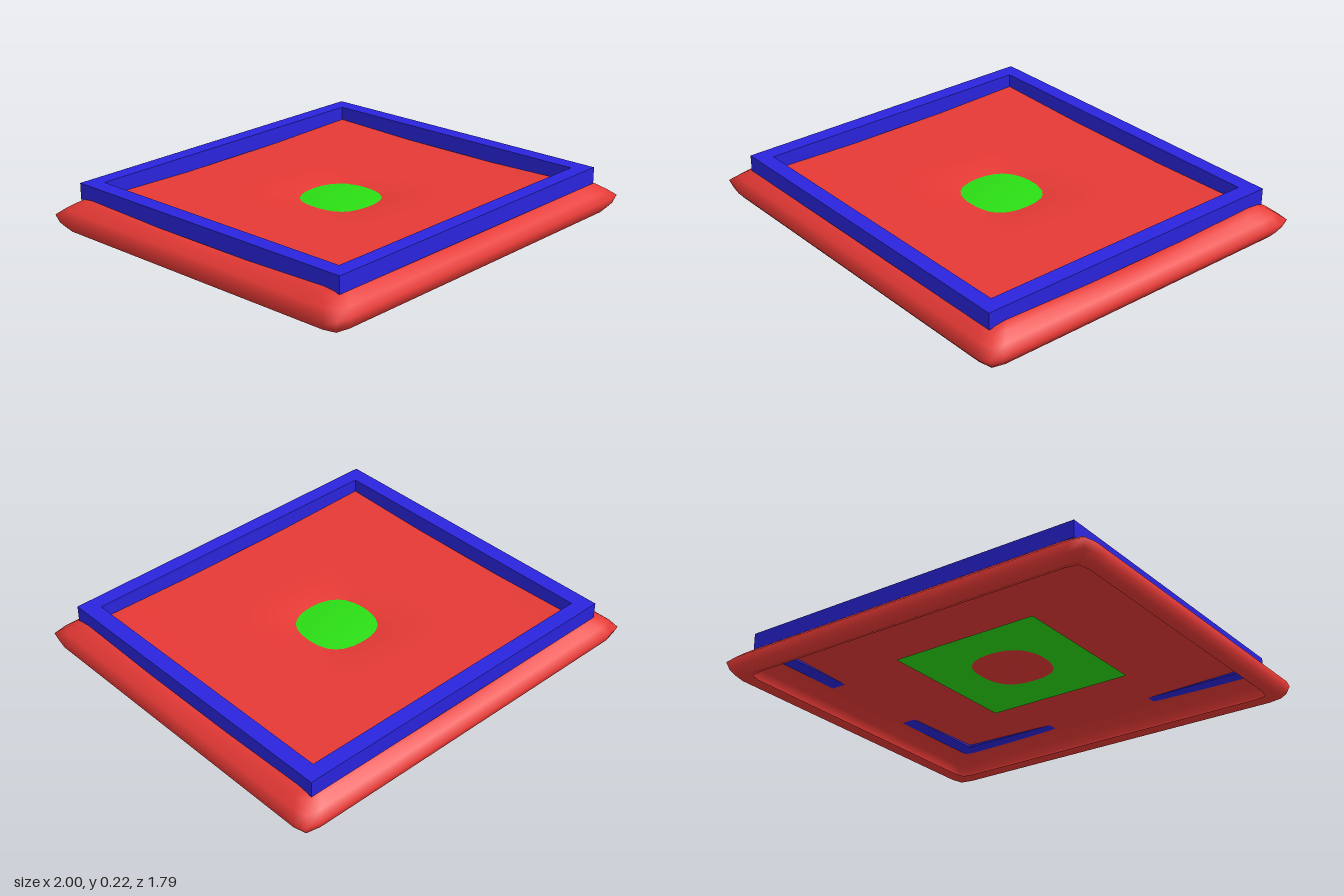
import * as THREE from 'three';

const HX = 1, HZ = 0.893, SEG = 24;

// Height of the soft top surface: raised corners, sagging edges, central dimple
function topHeight(x, z) {
  const u = Math.min(1, Math.abs(x) / 0.8), v = Math.min(1, Math.abs(z) / 0.72);
  const r = Math.pow(Math.abs(x) ** 3 + Math.abs(z) ** 3, 1 / 3);
  return 0.129 + 0.019 * u * v - 0.05 * Math.exp(-((r / 0.2) ** 2));
}

// Points of a rectangle with slightly clipped corners, walked front, left, back, right
function rectangle(hx, hz) {
  const corners = [[-1, 1], [1, 1], [1, -1], [-1, -1]];
  const points = [];
  corners.forEach(([x, z], i) => {
    const [nx, nz] = corners[(i + 1) % 4];
    for (let k = 0; k < SEG; k++) {
      const t = k / SEG, s = k === 0 ? 0.985 : 1;
      points.push([(x + (nx - x) * t) * hx * s, (z + (nz - z) * t) * hz * s]);
    }
  });
  return points;
}

// Open-bottomed cushion: rolled rim rings, then rings shrinking to the centre
function cushionGeometry() {
  const rim = [[0.09, 0.012], [0.06, 0], [0.035, 0.004], [0.014, 0.03], [0, 0.07], [0.035, 0.1], [0.075, 0.128]];
  const rings = rim.map(([inset, y]) => rectangle(HX - inset, HZ - inset).map(([x, z]) => [x, y, z]));
  const INNER = 28;
  for (let i = 0; i <= INNER; i++) {
    const f = 1 - i / INNER;
    rings.push(rectangle((HX - 0.11) * f, (HZ - 0.11) * f).map(([x, z]) => [x, topHeight(x, z), z]));
  }
  const n = SEG * 4, index = [];
  for (let i = 0; i < rings.length - 1; i++) {
    for (let j = 0; j < n; j++) {
      const a = i * n + j, b = i * n + (j + 1) % n;
      index.push(a, b, b + n, a, b + n, a + n);
    }
  }
  const geometry = new THREE.BufferGeometry();
  geometry.setAttribute('position', new THREE.Float32BufferAttribute(rings.flat(2), 3));
  geometry.setIndex(index);
  geometry.computeVertexNormals();
  return geometry;
}

// Square sheet with a low dome in the middle
function patchGeometry() {
  const geometry = new THREE.PlaneGeometry(0.77, 0.77, 32, 32).rotateX(-Math.PI / 2);
  const p = geometry.attributes.position;
  for (let i = 0; i < p.count; i++) {
    const r = Math.hypot(p.getX(i), p.getZ(i)) / 0.19;
    p.setY(i, 0.105 + 0.012 * Math.max(0, 1 - r * r));
  }
  geometry.computeVertexNormals();
  return geometry;
}

// Rectangular frame cut from a flat slab
function frameGeometry() {
  const outline = (hx, hz) => [[-hx, -hz], [hx, -hz], [hx, hz], [-hx, hz]].map(([x, y]) => new THREE.Vector2(x, y));
  const shape = new THREE.Shape(outline(0.888, 0.807));
  shape.holes.push(new THREE.Path(outline(0.808, 0.73).reverse()));
  return new THREE.ExtrudeGeometry(shape, { depth: 0.08, bevelEnabled: false })
    .rotateX(-Math.PI / 2).translate(0, 0.136, 0);
}

export function createModel() {
  const model = new THREE.Group();
  const add = (name, geometry, color, side = THREE.FrontSide) => {
    const mesh = new THREE.Mesh(geometry, new THREE.MeshStandardMaterial({ color, side }));
    mesh.name = name;
    model.add(mesh);
  };
  add('cushion', cushionGeometry(), 0xe53935, THREE.DoubleSide);
  add('frame', frameGeometry(), 0x2a24dd);
  add('centrePatch', patchGeometry(), 0x2bdd14, THREE.DoubleSide);
  return model;
}
